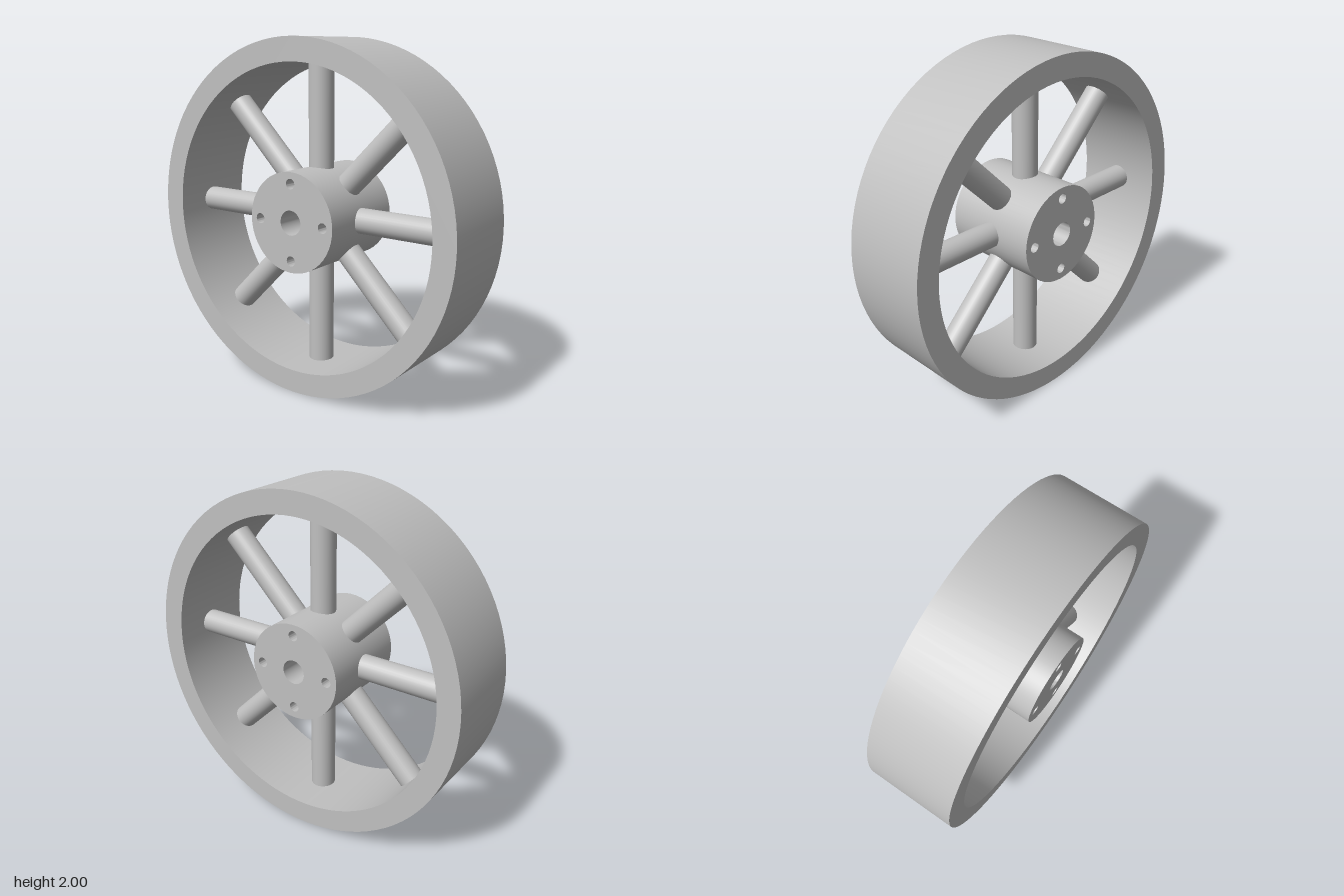
import * as THREE from 'three';
import { toCreasedNormals } from 'three/addons/utils/BufferGeometryUtils.js';

// Disc of the given radius and depth, centred on z = 0, with round through-holes [x, y, radius]
function drilledDisc(radius, depth, holes, segments) {
  const shape = new THREE.Shape().absarc(0, 0, radius, 0, Math.PI * 2, false);
  for (const [x, y, r] of holes) {
    shape.holes.push(new THREE.Path().absarc(x, y, r, 0, Math.PI * 2, true));
  }
  const geometry = new THREE.ExtrudeGeometry(shape, { depth, bevelEnabled: false, curveSegments: segments });
  geometry.translate(0, 0, -depth / 2);
  return toCreasedNormals(geometry, 0.6);
}

export function createModel() {
  const model = new THREE.Group();
  model.name = 'spokedWheel';
  const metal = new THREE.MeshStandardMaterial({ color: 0xc0c0c0 });
  metal.name = 'grey metal';

  const wheel = new THREE.Group();
  wheel.name = 'wheel';
  wheel.position.y = 1;
  model.add(wheel);

  const add = (name, geometry) => {
    const mesh = new THREE.Mesh(geometry, metal);
    mesh.name = name;
    wheel.add(mesh);
    return mesh;
  };

  // Wide outer rim
  add('rim', drilledDisc(1, 0.53, [[0, 0, 0.868]], 48));

  // Hub with axle bore and four bolt holes
  const holes = [[0, 0, 0.07]];
  for (let i = 0; i < 4; i++) {
    const a = (i * Math.PI) / 2;
    holes.push([Math.cos(a) * 0.217, Math.sin(a) * 0.217, 0.029]);
  }
  add('hub', drilledDisc(0.283, 0.566, holes, 24));

  // Eight round spokes, ends sunk slightly into the hub and rim
  const inner = 0.262, outer = 0.875;
  const spoke = new THREE.CylinderGeometry(0.072, 0.072, outer - inner, 32, 1, true);
  spoke.translate(0, (inner + outer) / 2, 0);
  for (let i = 0; i < 8; i++) {
    add('spoke' + (i + 1), spoke).rotation.z = (i * Math.PI) / 4;
  }
  return model;
}
